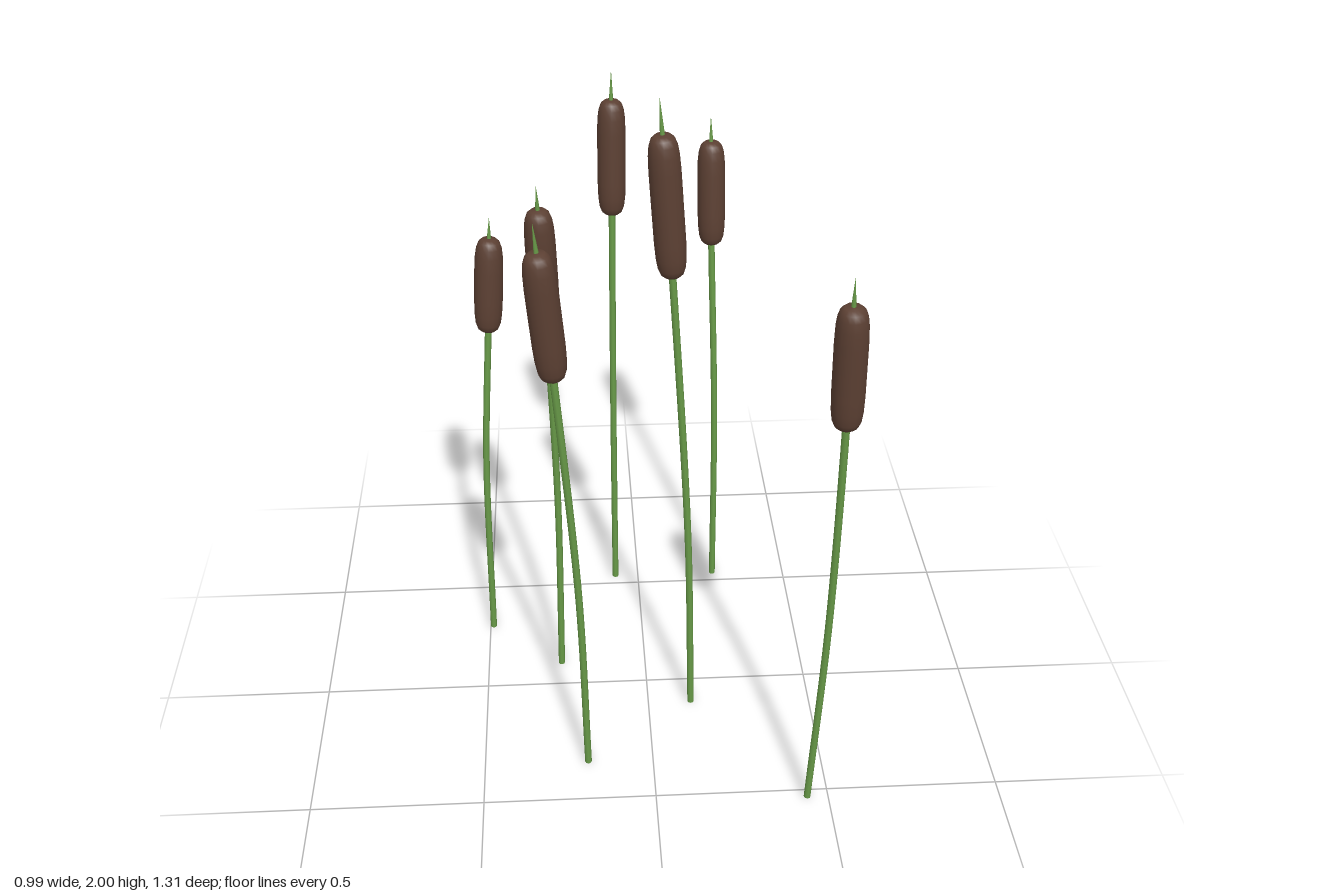
import * as THREE from 'three';

const green = new THREE.MeshStandardMaterial({ color: 0x689a48 });
const brown = new THREE.MeshStandardMaterial({ color: 0x5c4033 });
const V = (a) => new THREE.Vector3(...a);

// Each reed: stem base, stem middle, bottom of head, top of head, tip of spike
const REEDS = [
  [[-0.49, 0, -0.295], [-0.481, 0.65, -0.306], [-0.453, 1.1, -0.333], [-0.436, 1.395, -0.348], [-0.433, 1.46, -0.351]],
  [[-0.267, 0, -0.1], [-0.262, 0.65, -0.1], [-0.277, 1.28, -0.077], [-0.288, 1.615, -0.062], [-0.291, 1.69, -0.058]],
  [[-0.193, 0, 0.349], [-0.209, 0.65, 0.368], [-0.257, 1.365, 0.4], [-0.287, 1.727, 0.415], [-0.294, 1.81, 0.42]],
  [[-0.077, 0, -0.542], [-0.077, 0.65, -0.551], [-0.073, 1.355, -0.58], [-0.071, 1.71, -0.599], [-0.07, 1.8, -0.604]],
  [[0.132, 0, 0.103], [0.114, 0.65, 0.111], [0.061, 1.5, 0.118], [0.032, 1.897, 0.119], [0.024, 2, 0.119]],
  [[0.257, 0, -0.542], [0.251, 0.65, -0.553], [0.233, 1.24, -0.595], [0.227, 1.567, -0.615], [0.225, 1.645, -0.62]],
  [[0.439, 0, 0.526], [0.458, 0.65, 0.553], [0.453, 1.325, 0.6], [0.444, 1.672, 0.622], [0.442, 1.75, 0.628]],
];

// Places a y-up mesh at a start point and leans it toward an end point
function aim(mesh, from, to) {
  mesh.position.copy(from);
  mesh.quaternion.setFromUnitVectors(new THREE.Vector3(0, 1, 0), to.clone().sub(from).normalize());
  return mesh;
}

function named(name, geometry, material) {
  const mesh = new THREE.Mesh(geometry, material);
  mesh.name = name;
  return mesh;
}

function makeReed(points) {
  const [base, middle, bottom, top, tip] = points.map(V);
  const reed = new THREE.Group();
  reed.name = 'reed';

  // Gently bowed stem, ending inside the head
  const inside = bottom.clone().lerp(top, 0.3);
  const path = new THREE.CatmullRomCurve3([base, middle, bottom, inside]);
  reed.add(named('stem', new THREE.TubeGeometry(path, 24, 0.01, 8), green));
  const cap = named('stemBase', new THREE.CircleGeometry(0.01, 8), green);
  cap.rotation.x = Math.PI / 2;
  cap.position.copy(base);
  reed.add(cap);

  // Seed head: a cylinder with softly rounded ends
  const h = bottom.distanceTo(top);
  const profile = [
    [0, 0], [0.022, 0.001], [0.031, 0.009], [0.037, 0.025], [0.0405, 0.055], [0.042, 0.1],
    [0.042, h - 0.1], [0.0405, h - 0.055], [0.037, h - 0.028], [0.031, h - 0.011], [0.021, h - 0.002], [0, h],
  ].map(([r, y]) => new THREE.Vector2(r, y));
  reed.add(aim(named('seedHead', new THREE.LatheGeometry(profile, 16), brown), bottom, top));

  // Thin pointed spike above the head
  const length = top.distanceTo(tip) + 0.01;
  const cone = new THREE.ConeGeometry(0.007, length, 8).translate(0, length / 2 - 0.01, 0);
  reed.add(aim(named('spike', cone, green), top, tip));
  return reed;
}

export function createModel() {
  const model = new THREE.Group();
  model.name = 'cattails';
  for (const points of REEDS) model.add(makeReed(points));
  return model;
}
